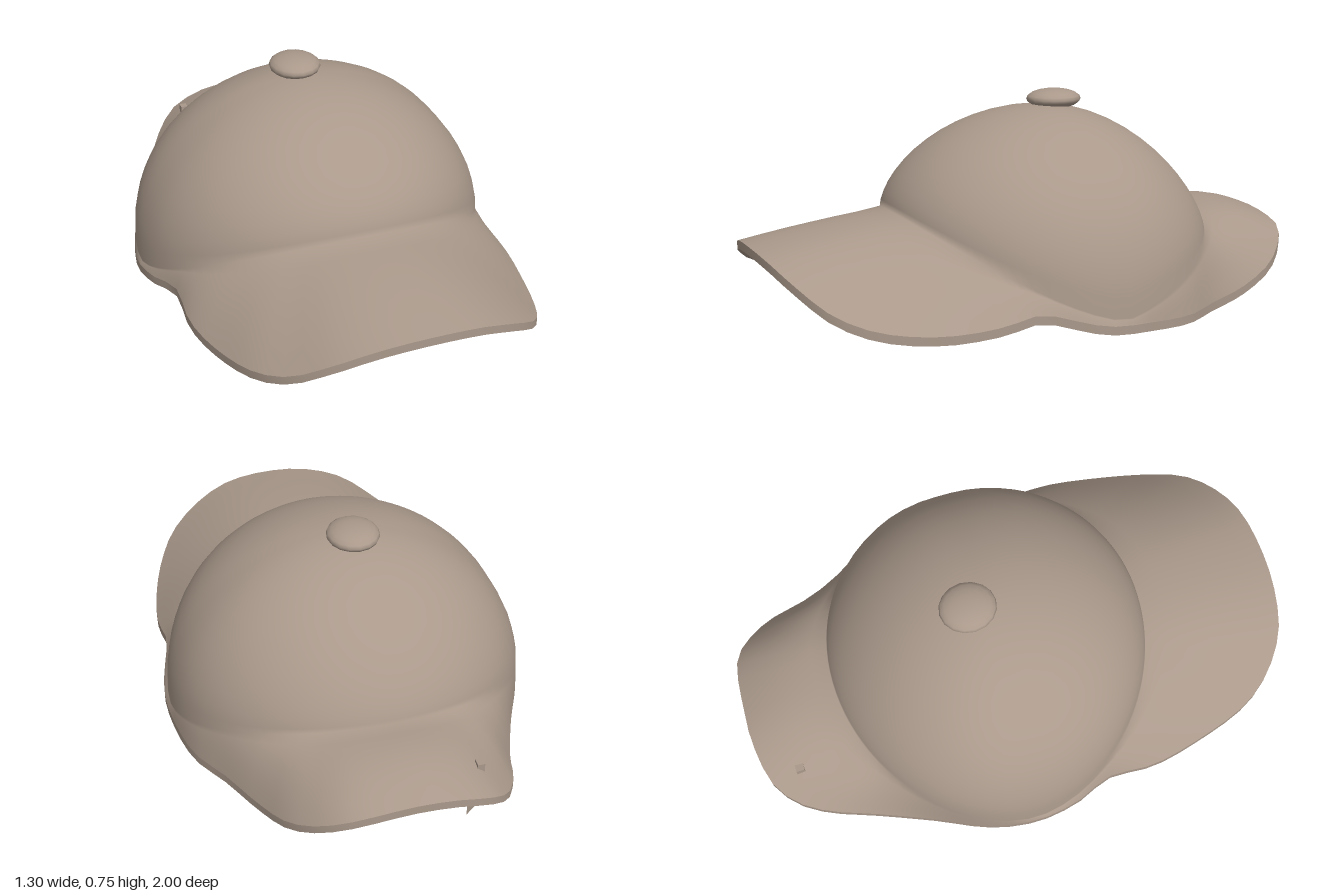
import * as THREE from 'three';
import { mergeVertices } from 'three/addons/utils/BufferGeometryUtils.js';

const cloth = new THREE.MeshStandardMaterial({ color: 0xaa998b });
cloth.name = 'taupe cloth';
cloth.side = THREE.DoubleSide;

// Lower edge of the hat, clockwise seen from above, starting at the back
const RIM = [
  [0, .215, -1], [.22, .18, -.98], [.31, .13, -.92], [.38, .08, -.83], [.44, .03, -.68],
  [.52, .015, -.5], [.6, .012, -.36], [.64, .02, -.2], [.65, .03, -.02], [.62, .065, .12],
  [.6, .085, .2], [.61, .065, .35], [.585, .055, .55], [.53, .08, .74], [.46, .13, .86],
  [.34, .2, .94], [.2, .25, .985], [0, .265, 1], [-.15, .25, .99], [-.28, .21, .96],
  [-.4, .14, .88], [-.48, .1, .77], [-.55, .06, .55], [-.585, .06, .38], [-.585, .08, .2],
  [-.63, .06, .08], [-.65, .03, -.08], [-.62, .015, -.25], [-.53, .01, -.45], [-.45, .02, -.65],
  [-.4, .07, -.81], [-.35, .1, -.9], [-.27, .16, -.97], [-.12, .21, -1],
];
const COLS = 80, DOME_ROWS = 14, BRIM_ROWS = 6, UNDER_ROWS = 10;
const CZ = -.09, RX = .64, RZ = .575, TOP = .7, THICK = .03;

// Outside of the hat: from the crown top down the dome and out along the brim
function outerColumn(p) {
  const a = Math.atan2(p.x / RX, (p.z - CZ) / RZ);
  const c = Math.cos(a), front = c > 0;
  const baseY = .07 + (front ? .29 * c ** 1.4 : .23 * (-c) ** 1.2);
  const power = .5 + (front ? .14 : .28) * c * c; // round at the sides, sloping fore and aft
  const bx = Math.sin(a) * RX, bz = CZ + c * RZ;
  const out = [];
  for (let j = 0; j <= DOME_ROWS; j++) {
    const s = Math.sin((j / DOME_ROWS) * Math.PI / 2);
    const h = Math.max(0, 1 - s * s) ** power;
    out.push([bx * s, baseY + (TOP - baseY) * h, CZ + (bz - CZ) * s]);
  }
  for (let j = 1; j <= BRIM_ROWS; j++) {
    const t = j / BRIM_ROWS;
    const bulge = (front ? .008 : .025) * Math.abs(c) * Math.sin(Math.PI * t);
    out.push([
      bx + (p.x - bx) * t,
      baseY + (p.y + THICK - baseY) * t + bulge,
      bz + (p.z - bz) * t,
    ]);
  }
  return out;
}

// Underside: one arch running front to back, meeting the rim all round
const arch = x => Math.max(.02, .25 - .48 * Math.hypot(x + .01, .08));
function underColumn(p) {
  const out = [];
  for (let j = UNDER_ROWS; j >= 0; j--) {
    const t = j / UNDER_ROWS;
    out.push([p.x * t, arch(p.x * t) + (p.y - arch(p.x)) * t ** 3, CZ + (p.z - CZ) * t]);
  }
  return out;
}

// Smooth closed band through the given columns of points
function loft(cols) {
  const rows = cols[0].length, pos = cols.flat(2), index = [];
  cols.forEach((_, i) => {
    const n = (i + 1) % cols.length;
    for (let j = 0; j < rows - 1; j++) {
      const a = i * rows + j, b = n * rows + j;
      index.push(a, b, a + 1, b, b + 1, a + 1);
    }
  });
  const g = new THREE.BufferGeometry();
  g.setAttribute('position', new THREE.Float32BufferAttribute(pos, 3));
  g.setIndex(index);
  const merged = mergeVertices(g, 1e-4);
  merged.computeVertexNormals();
  return merged;
}

// Bent strip hanging diagonally below the back brim
function tabGeometry() {
  const foot = new THREE.CatmullRomCurve3([
    [-.38, 0, -.75], [-.33, .005, -.765], [-.27, .018, -.82], [-.215, .035, -.875],
  ].map(p => new THREE.Vector3(...p)));
  const g = new THREE.PlaneGeometry(1, 1, 8, 1);
  const pos = g.attributes.position;
  for (let i = 0; i < pos.count; i++) {
    const u = pos.getX(i) + .5, v = pos.getY(i) + .5;
    const p = foot.getPoint(u);
    pos.setXYZ(i, p.x, p.y + v * (.08 + .08 * u), p.z);
  }
  g.computeVertexNormals();
  return g;
}

export function createModel() {
  const group = new THREE.Group();
  const add = (name, geometry, x = 0, y = 0, z = 0) => {
    const m = new THREE.Mesh(geometry, cloth);
    m.name = name;
    m.position.set(x, y, z);
    group.add(m);
  };

  // Crown with both brims, the band around the edge, and the underside
  const curve = new THREE.CatmullRomCurve3(RIM.map(p => new THREE.Vector3(...p)), true);
  const rim = curve.getSpacedPoints(COLS).slice(0, COLS);
  add('crownAndBrims', loft(rim.map(outerColumn)));
  add('rimBand', loft(rim.map(p => [[p.x, p.y + THICK, p.z], [p.x, p.y, p.z]])));
  add('underside', loft(rim.map(underColumn)));

  // Flattened button on the crown
  add('topButton', new THREE.SphereGeometry(1, 16, 10).scale(.092, .036, .1), -.02, .716, -.15);

  // Tab under the back brim, with the peg that pokes through
  add('backTab', tabGeometry());
  add('tabPeg', new THREE.BoxGeometry(.025, .1, .03), -.255, .2, -.86);

  return group;
}
